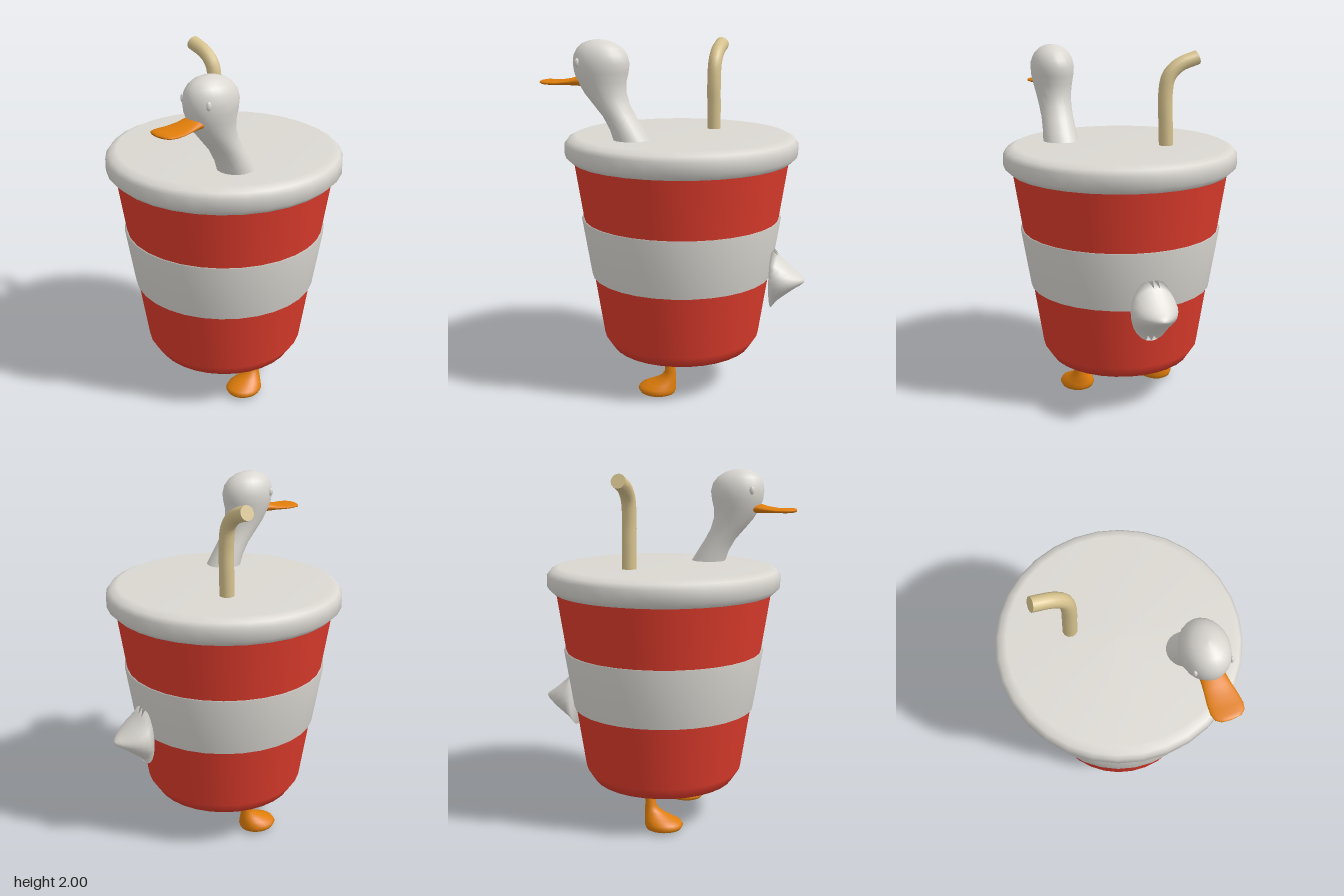
import * as THREE from 'three';

const mat = (name, color) => {
  const m = new THREE.MeshStandardMaterial({ color });
  m.name = name;
  return m;
};

// Loft of elliptical sections [position, offset, halfWidth, halfDepth].
// Axis 'z': offset is y. Axis 'y': offset is z.
function loft(sections, axis, power = 1, n = 24) {
  const pos = [], idx = [];
  const soft = (v) => Math.sign(v) * Math.abs(v) ** power;
  for (const [t, off, rx, ry] of sections) {
    for (let j = 0; j < n; j++) {
      const a = (j / n) * Math.PI * 2;
      const x = soft(Math.cos(a)) * rx, v = soft(Math.sin(a)) * ry;
      if (axis === 'z') pos.push(x, off + v, t);
      else pos.push(x, t, off - v);
    }
  }
  for (let i = 0; i < sections.length - 1; i++) {
    for (let j = 0; j < n; j++) {
      const a = i * n + j, b = i * n + ((j + 1) % n);
      idx.push(a, b, a + n, b, b + n, a + n);
    }
  }
  const g = new THREE.BufferGeometry();
  g.setAttribute('position', new THREE.Float32BufferAttribute(pos, 3));
  g.setIndex(idx);
  g.computeVertexNormals();
  return g;
}

const lathe = (pts) => new THREE.LatheGeometry(pts.map(([r, y]) => new THREE.Vector2(r, y)), 32);

export function createModel() {
  const white = mat('white', 0xdad7d1);
  const red = mat('red', 0xdd3b2c);
  const orange = mat('orange', 0xdf7d0b);
  const tan = mat('straw tan', 0xd6c28e);
  const model = new THREE.Group();
  model.name = 'duckCup';
  const add = (name, geometry, material, x = 0, y = 0, z = 0) => {
    const m = new THREE.Mesh(geometry, material);
    m.name = name;
    m.position.set(x, y, z);
    model.add(m);
    return m;
  };

  // Cup, wrap-around band and lid
  const cz = 0.01;
  add('cup', lathe([[0, 0.24], [0.405, 0.24], [0.45, 0.31], [0.605, 1.34]]), red, 0, 0, cz);
  add('band', lathe([[0.49, 0.67], [0.515, 0.67], [0.567, 1.0], [0.54, 1.0]]), white, 0, 0, cz);
  add('lid', lathe([[0.58, 1.33], [0.615, 1.33], [0.652, 1.365], [0.652, 1.43],
    [0.633, 1.455], [0.59, 1.475], [0, 1.475]]), white, 0, 0, cz);

  // Bent straw with a closed end
  const path = new THREE.CatmullRomCurve3([
    [-0.225, 1.45], [-0.22, 1.6], [-0.216, 1.74], [-0.235, 1.85], [-0.295, 1.91], [-0.4, 1.948],
  ].map(([x, y]) => new THREE.Vector3(x, y, -0.12)));
  add('straw', new THREE.TubeGeometry(path, 20, 0.04, 12), tan);
  const end = path.getPoint(1);
  const cap = add('strawEnd', new THREE.CircleGeometry(0.04, 12), tan, end.x, end.y, end.z);
  cap.lookAt(end.clone().add(path.getTangent(1)));

  // Neck and head
  const hx = 0.292;
  add('neckAndHead', loft([
    [1.46, 0.195, 0.1, 0.1], [1.53, 0.228, 0.094, 0.09], [1.6, 0.27, 0.09, 0.088],
    [1.66, 0.312, 0.092, 0.098], [1.72, 0.346, 0.098, 0.115], [1.78, 0.364, 0.11, 0.133],
    [1.83, 0.367, 0.119, 0.148], [1.875, 0.367, 0.122, 0.154], [1.92, 0.37, 0.114, 0.146],
    [1.955, 0.374, 0.095, 0.123], [1.98, 0.378, 0.068, 0.089], [1.995, 0.38, 0.035, 0.046],
    [2.0, 0.38, 0, 0],
  ], 'y'), white);
  model.getObjectByName('neckAndHead').position.x = hx;

  // Eyes
  for (const s of [-1, 1]) {
    const eye = add(s > 0 ? 'leftEye' : 'rightEye', new THREE.SphereGeometry(1, 12, 10), white,
      hx + s * 0.094, 1.883, 0.466);
    eye.scale.set(0.011, 0.023, 0.014);
  }

  // Flat bill, broad at the tip
  add('bill', loft([
    [0.44, 1.782, 0.062, 0.03], [0.49, 1.781, 0.065, 0.028], [0.54, 1.774, 0.071, 0.019],
    [0.6, 1.769, 0.081, 0.014], [0.65, 1.769, 0.085, 0.014], [0.685, 1.77, 0.076, 0.013],
    [0.703, 1.771, 0.052, 0.009], [0.71, 1.771, 0, 0],
  ], 'z'), orange, hx);

  // Tail at the back
  add('tail', loft([
    [-0.708, 0.672, 0, 0], [-0.703, 0.672, 0.022, 0.012], [-0.685, 0.672, 0.05, 0.026],
    [-0.655, 0.672, 0.082, 0.046], [-0.625, 0.673, 0.107, 0.07], [-0.59, 0.674, 0.124, 0.1],
    [-0.555, 0.675, 0.128, 0.132], [-0.525, 0.675, 0.12, 0.175], [-0.525, 0.675, 0, 0],
  ], 'z'), white);

  // Legs flowing into feet
  const foot = loft([
    [0, 0.07, 0, 0], [0.003, 0.075, 0.06, 0.075], [0.014, 0.08, 0.09, 0.1],
    [0.032, 0.082, 0.099, 0.109], [0.05, 0.077, 0.092, 0.103], [0.07, 0.056, 0.074, 0.084],
    [0.09, 0.034, 0.055, 0.063], [0.115, 0.014, 0.04, 0.042], [0.145, 0.004, 0.031, 0.031],
    [0.215, 0.002, 0.028, 0.028], [0.223, 0.002, 0.023, 0.023], [0.223, 0.002, 0, 0],
  ], 'y');
  add('leftFoot', foot, orange, 0.247);
  add('rightFoot', foot, orange, -0.247);

  return model;
}
